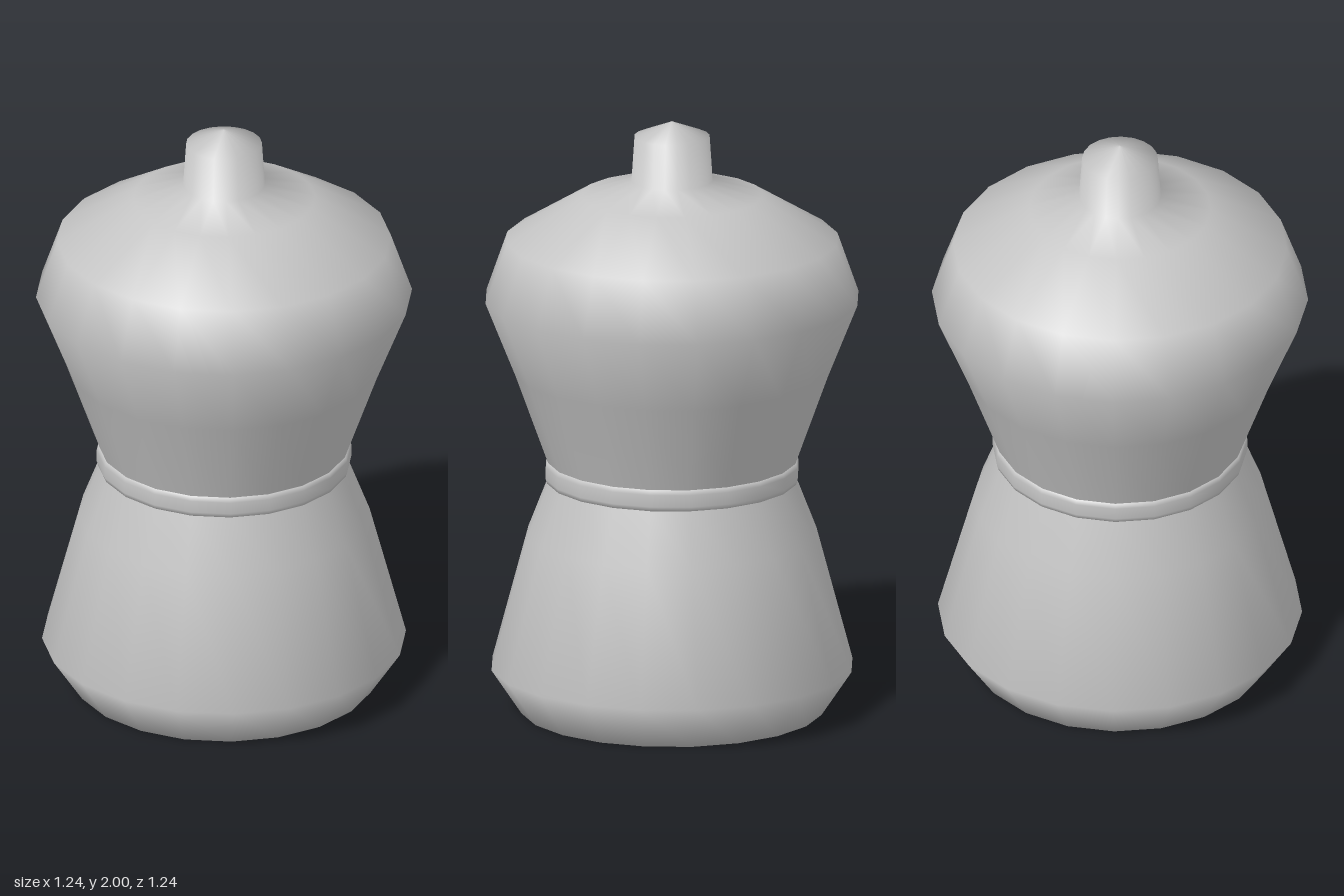
import * as THREE from 'three';

const SIDES = 20;

export function createModel() {
  const group = new THREE.Group();
  const metal = new THREE.MeshStandardMaterial({ color: 0xc4c4c4 });
  metal.name = 'brushed metal';

  // Smooth turned part from [radius, height] points, bottom to top
  const turn = (name, profile) => {
    const points = profile.map(([r, y]) => new THREE.Vector2(r, y));
    const mesh = new THREE.Mesh(new THREE.LatheGeometry(points, SIDES), metal);
    mesh.name = name;
    group.add(mesh);
  };

  // Lower chamber with closed underside
  turn('lowerChamber', [[0, 0], [0.5, 0], [0.6, 0.15], [0.48, 0.6], [0.41, 0.78], [0.405, 0.82]]);

  // Band around the waist
  turn('waistRing', [[0.4, 0.775], [0.415, 0.78], [0.42, 0.795], [0.42, 0.835], [0.415, 0.85], [0.4, 0.855]]);

  // Upper chamber flowing into the domed lid and its knob
  turn('upperChamberAndKnob', [
    [0.4, 0.82], [0.412, 0.85], [0.52, 1.15], [0.62, 1.4], [0.55, 1.6],
    [0.3, 1.75], [0.135, 1.8], [0.125, 1.95], [0, 2],
  ]);

  return group;
}
